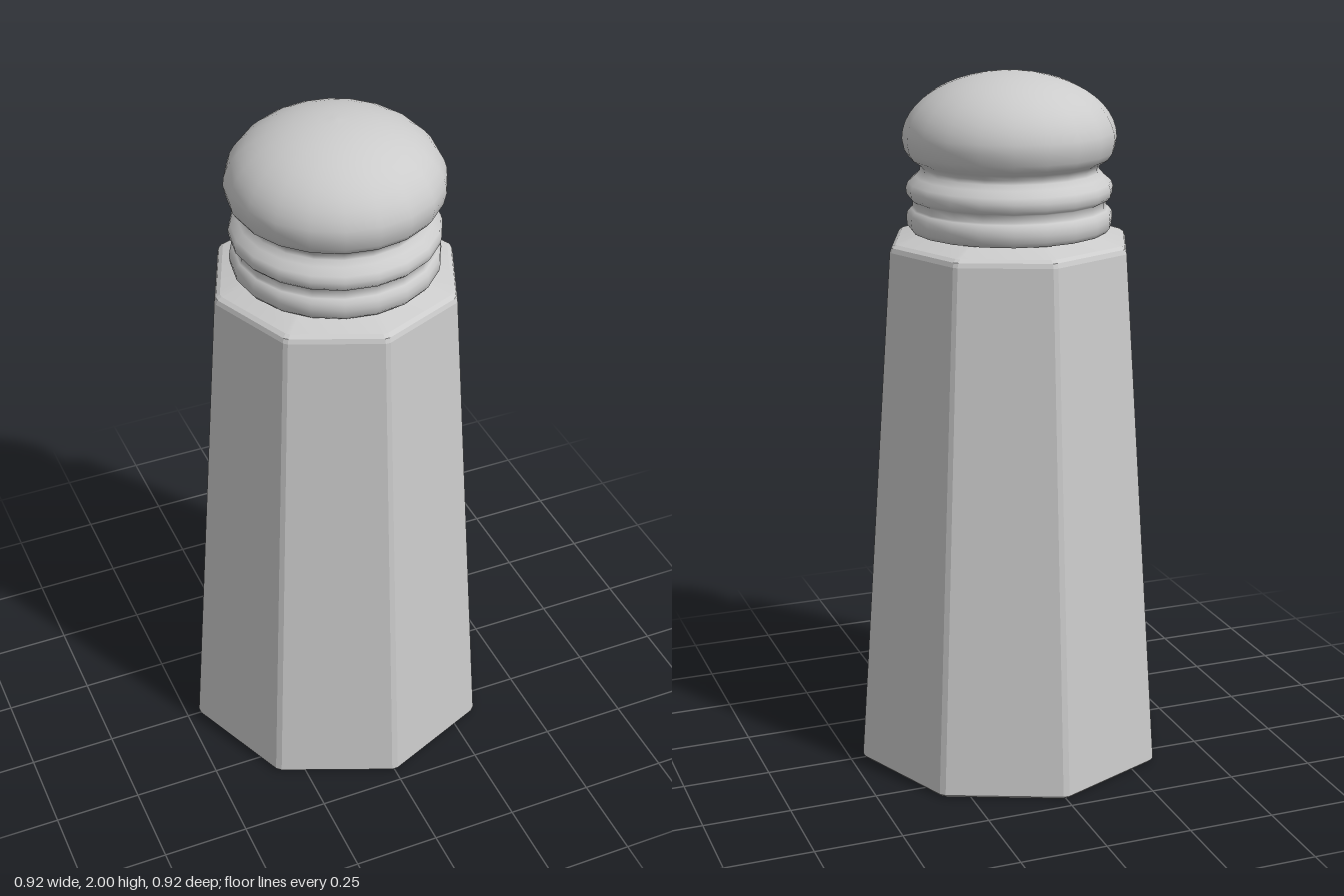
import * as THREE from 'three';
import { toCreasedNormals } from 'three/addons/utils/BufferGeometryUtils.js';

const grey = new THREE.MeshStandardMaterial({ color: 0xcccccc });
const points = (list) => list.map(([r, y]) => new THREE.Vector2(r, y));

// Octagonal solid from a profile of corner radii, with narrow chamfers on the upright edges
function octagonLathe(profile, chamfer) {
  const step = Math.PI / 4;
  const geo = new THREE.LatheGeometry(points(profile), 16, -step / 4);
  const pos = geo.attributes.position;
  for (let i = 0; i < pos.count; i++) {
    const x = pos.getX(i), z = pos.getZ(i);
    const angle = Math.atan2(x, z);
    const corner = Math.round(angle / step) * step;
    const a = corner + Math.sign(angle - corner) * chamfer;
    const r = Math.hypot(x, z) * Math.cos(step / 2) / Math.cos(step / 2 - chamfer);
    pos.setX(i, Math.sin(a) * r);
    pos.setZ(i, Math.cos(a) * r);
  }
  return toCreasedNormals(geo, 0.2);
}

function addPart(group, name, geometry) {
  const mesh = new THREE.Mesh(geometry, grey);
  mesh.name = name;
  group.add(mesh);
}

export function createModel() {
  const model = new THREE.Group();
  model.name = 'shaker';

  // Tapered eight-sided body with a rounded shoulder
  addPart(model, 'body', octagonLathe([
    [0, 0], [0.456, 0], [0.464, 0.008], [0.355, 1.515], [0.35, 1.528],
    [0.338, 1.536], [0.26, 1.56], [0, 1.56],
  ], 0.02));

  // Cap: two rolled rings, a pinched neck and a flattened dome
  const profile = [
    [0.25, 1.54], [0.255, 1.557], [0.278, 1.56], [0.288, 1.573], [0.29, 1.592],
    [0.288, 1.61], [0.278, 1.622], [0.272, 1.626], [0.272, 1.645], [0.28, 1.65],
    [0.289, 1.66], [0.291, 1.678], [0.285, 1.695], [0.265, 1.712], [0.252, 1.726],
    [0.25, 1.738], [0.26, 1.75], [0.28, 1.763], [0.293, 1.782],
  ];
  for (let i = 0; i <= 12; i++) {
    const t = (i / 12) * Math.PI / 2;
    profile.push([0.3 * Math.cos(t), 1.815 + 0.185 * Math.sin(t)]);
  }
  profile[profile.length - 1][0] = 0;
  addPart(model, 'cap', new THREE.LatheGeometry(points(profile), 20));

  return model;
}
